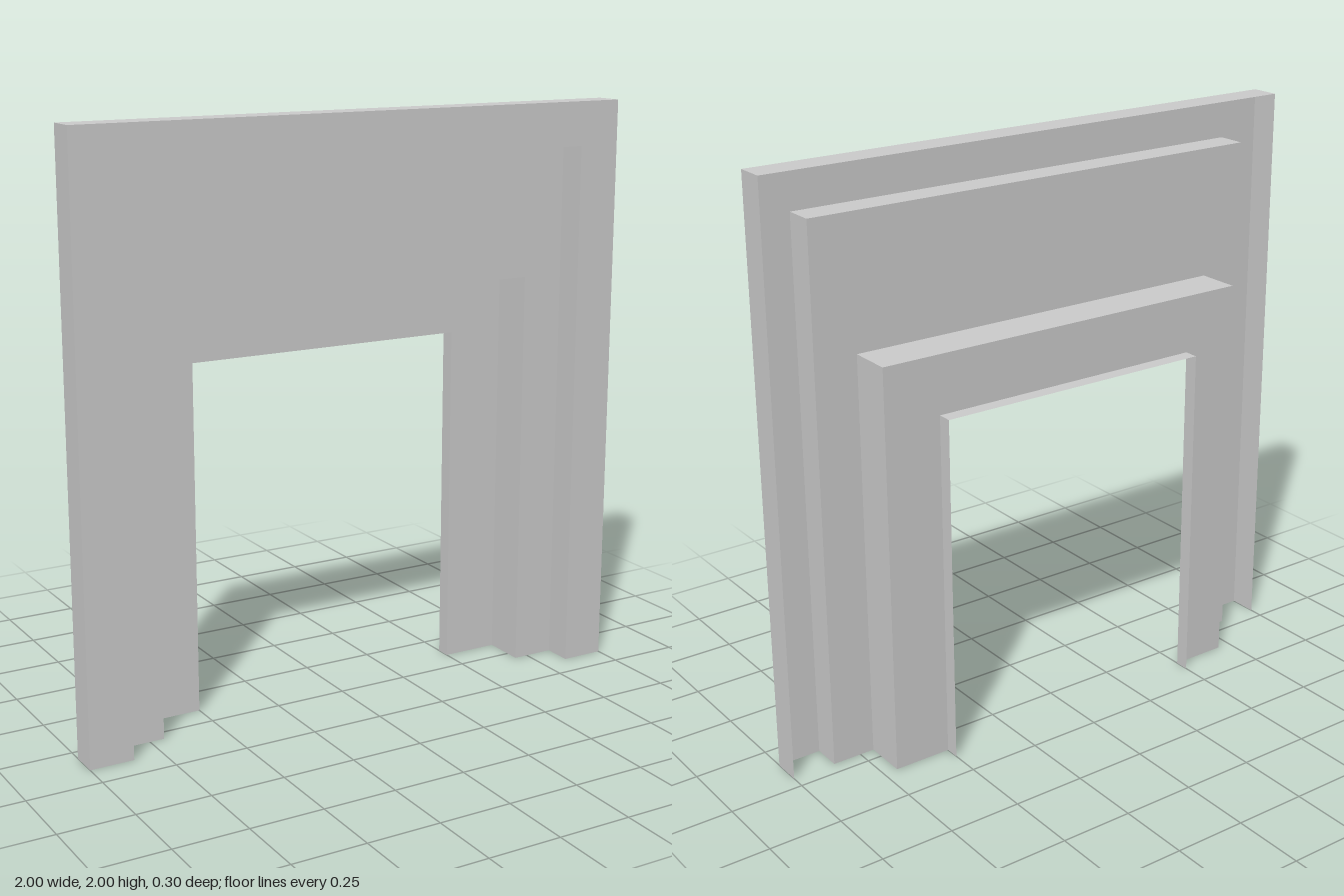
import * as THREE from 'three';

// Stepped profile from the outer back edge to the inner opening: half width, height, depth
const profile = [
  { w: 1.0, h: 2.0, z: 0.05 },
  { w: 1.0, h: 2.0, z: 0.15 },
  { w: 0.85, h: 1.85, z: 0.15 },
  { w: 0.85, h: 1.85, z: 0.05 },
  { w: 0.7, h: 1.4, z: 0.05 },
  { w: 0.7, h: 1.4, z: -0.1 },
  { w: 0.5, h: 1.2, z: -0.1 },
  { w: 0.5, h: 1.2, z: -0.15 },
];

const names = [
  'outerReturn', 'frontTrim', 'trimReturn', 'middleFace',
  'middleReturn', 'innerFace', 'openingReturn',
];

// Path up one leg, across the top and down the other leg
const archPath = ({ w, h, z }) => [[-w, 0, z], [-w, h, z], [w, h, z], [w, 0, z]];

// Thin sheet joining two neighbouring arches of the profile
function archStrip(from, to) {
  const a = archPath(from);
  const b = archPath(to);
  const positions = [];
  for (let i = 0; i < 3; i++) {
    for (const p of [a[i], b[i], b[i + 1], a[i], b[i + 1], a[i + 1]]) positions.push(...p);
  }
  const geometry = new THREE.BufferGeometry();
  geometry.setAttribute('position', new THREE.Float32BufferAttribute(positions, 3));
  geometry.computeVertexNormals();
  return geometry;
}

export function createModel() {
  const group = new THREE.Group();
  group.name = 'steppedDoorSurround';
  const material = new THREE.MeshStandardMaterial({
    color: 0xcccccc,
    flatShading: true,
    side: THREE.DoubleSide,
  });

  names.forEach((name, i) => {
    const mesh = new THREE.Mesh(archStrip(profile[i], profile[i + 1]), material);
    mesh.name = name;
    group.add(mesh);
  });
  return group;
}
